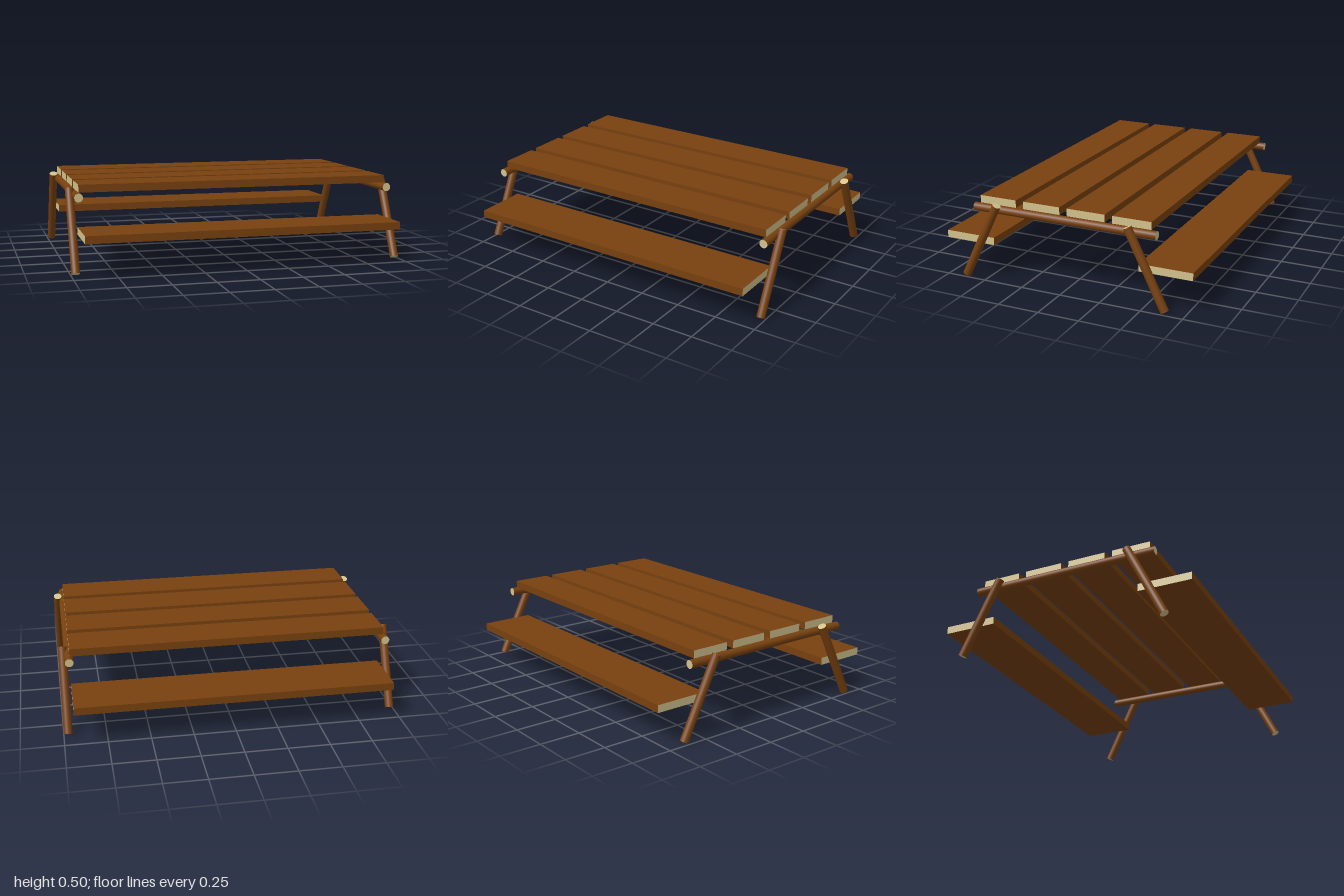
import * as THREE from 'three';

const bark = new THREE.MeshStandardMaterial({ color: 0x78410f });
const cutWood = new THREE.MeshStandardMaterial({ color: 0xd3c28c });

// Plank along x with pale end grain
function plank(name, width, thickness, y, z) {
  const mesh = new THREE.Mesh(
    new THREE.BoxGeometry(1.876, thickness, width),
    [cutWood, cutWood, bark, bark, bark, bark]
  );
  mesh.name = name;
  mesh.position.set(0, y, z);
  return mesh;
}

// Round pole between two points with pale cut ends
function pole(name, from, to, radius) {
  const axis = new THREE.Vector3().subVectors(to, from);
  const mesh = new THREE.Mesh(
    new THREE.CylinderGeometry(radius, radius, axis.length(), 20),
    [bark, cutWood, cutWood]
  );
  mesh.name = name;
  mesh.position.addVectors(from, to).multiplyScalar(0.5);
  mesh.quaternion.setFromUnitVectors(new THREE.Vector3(0, 1, 0), axis.normalize());
  return mesh;
}

export function createModel() {
  const group = new THREE.Group();
  group.name = 'picnicTable';

  // Four tabletop boards
  for (let i = 0; i < 4; i++) {
    group.add(plank('tabletopBoard', 0.234, 0.045, 0.481, (i - 1.5) * 0.281));
  }

  // Two bench seats
  for (const s of [-1, 1]) group.add(plank('benchSeat', 0.32, 0.045, 0.227, s * 0.623));

  for (const sx of [-1, 1]) {
    // Crossbar under the tabletop
    group.add(pole('crossbar',
      new THREE.Vector3(sx * 0.942, 0.433, -0.573),
      new THREE.Vector3(sx * 0.942, 0.433, 0.573), 0.025));

    // Splayed legs outside the crossbar
    for (const sz of [-1, 1]) {
      group.add(pole('leg',
        new THREE.Vector3(sx * 0.975, 0.011, sz * 0.635),
        new THREE.Vector3(sx * 0.975, 0.467, sz * 0.411), 0.025));
    }
  }
  return group;
}
